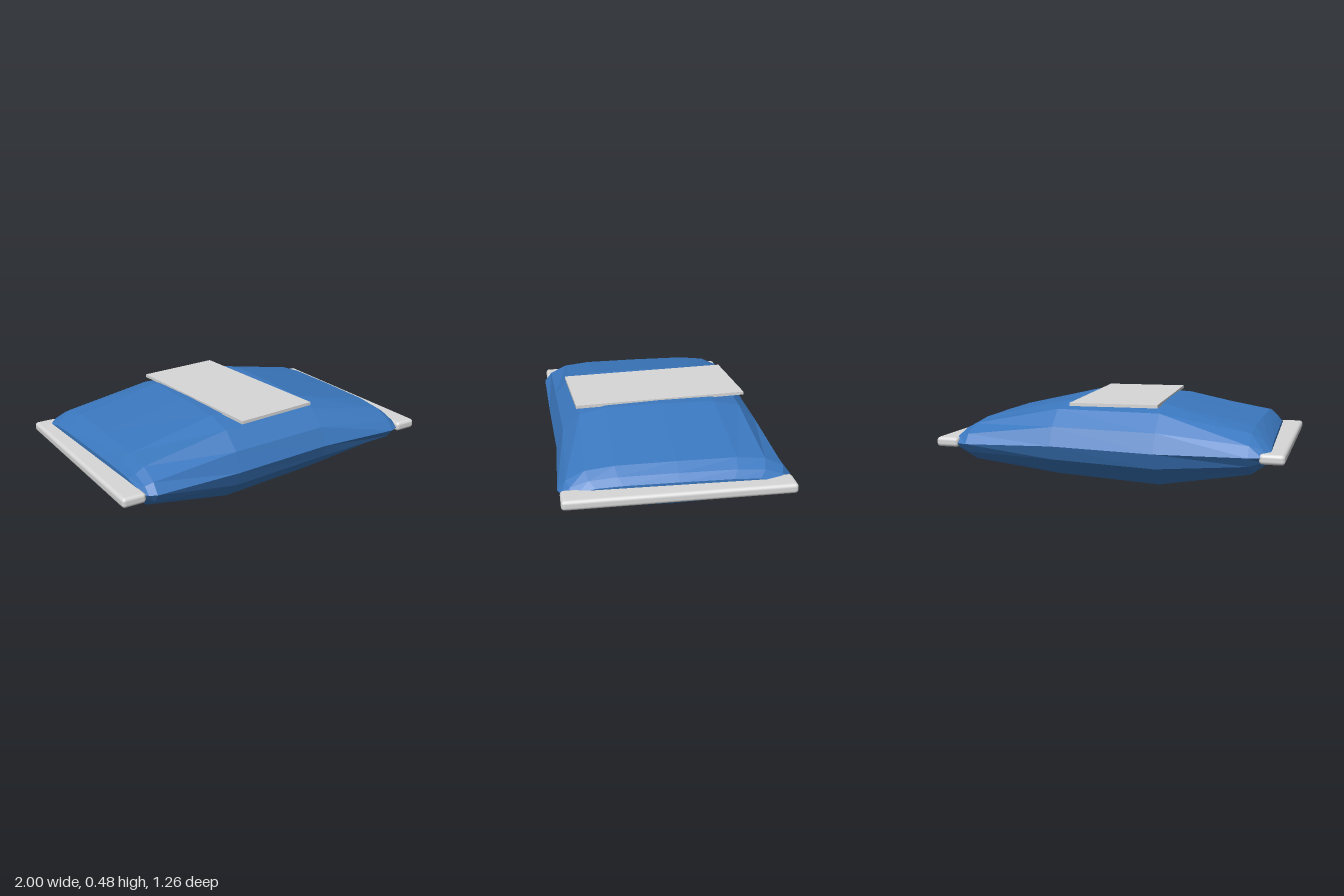
import * as THREE from 'three';
import { RoundedBoxGeometry } from 'three/addons/geometries/RoundedBoxGeometry.js';

// Closed faceted skin through equal-length rings of [x, y, z] points.
function loft(rings) {
  const n = rings[0].length;
  const pos = [];
  const tri = (a, b, c) => pos.push(...a, ...b, ...c);
  for (let i = 0; i < rings.length - 1; i++) {
    for (let j = 0; j < n; j++) {
      const k = (j + 1) % n;
      const a = rings[i][j], b = rings[i][k], c = rings[i + 1][k], d = rings[i + 1][j];
      tri(a, b, c);
      tri(a, c, d);
    }
  }
  const first = rings[0], last = rings[rings.length - 1];
  for (let j = 1; j < n - 1; j++) {
    tri(first[0], first[j + 1], first[j]);
    tri(last[0], last[j], last[j + 1]);
  }
  const geometry = new THREE.BufferGeometry();
  geometry.setAttribute('position', new THREE.Float32BufferAttribute(pos, 3));
  geometry.computeVertexNormals();
  return geometry;
}

export function createModel() {
  const blue = new THREE.MeshStandardMaterial({ color: 0x3b78bf, flatShading: true });
  blue.name = 'blue sack';
  const grey = new THREE.MeshStandardMaterial({ color: 0xd8d8d8 });
  grey.name = 'light grey';

  const model = new THREE.Group();
  const add = (name, geometry, material, x, y, z) => {
    const mesh = new THREE.Mesh(geometry, material);
    mesh.name = name;
    mesh.position.set(x, y, z);
    model.add(mesh);
    return mesh;
  };

  // Unit outline of the sack, [z, y], from the front seam over the top to the back and under
  const outline = [
    [1, 0], [0.93, 0.45], [0.77, 0.84], [0.52, 0.98], [0, 1], [-0.52, 0.98], [-0.77, 0.84], [-0.93, 0.45],
    [-1, 0], [-0.94, -0.38], [-0.77, -0.84], [-0.5, -0.92], [0, -1], [0.5, -0.92], [0.77, -0.84], [0.94, -0.38],
  ];
  // Sections along the sack: x, seam height, rise, drop, half depth, lean of the end in x
  const sections = [
    [-0.9, 0.25, 0.045, 0.04, 0.57, -0.022],
    [-0.865, 0.25, 0.08, 0.085, 0.61, -0.015],
    [-0.81, 0.25, 0.125, 0.14, 0.63, 0],
    [-0.3, 0.24, 0.24, 0.235, 0.62, 0],
    [0.3, 0.25, 0.23, 0.215, 0.605, 0],
    [0.81, 0.24, 0.12, 0.13, 0.625, 0],
    [0.87, 0.24, 0.08, 0.075, 0.605, 0.008],
    [0.908, 0.24, 0.045, 0.035, 0.56, 0.012],
  ];
  const rings = sections.map(([x, seam, rise, drop, depth, lean]) =>
    outline.map(([z, y]) => [x - lean * z, seam + y * (y > 0 ? rise : drop), z * depth]));
  // Positive z moves toward the top first, so the ring runs the right way for +x lofting
  add('sack', loft(rings.map((ring) => ring.slice().reverse())), blue, 0, 0, 0);

  // Rounded seam bars closing both ends
  for (const side of [-1, 1]) {
    add(side < 0 ? 'rightSeamBar' : 'leftSeamBar',
      new RoundedBoxGeometry(0.136, 0.056, 1.23, 3, 0.02), grey, side * 0.932, 0.243, 0);
  }

  // Slightly turned label resting on top
  add('label', new THREE.BoxGeometry(0.5, 0.018, 1.0), grey, -0.005, 0.479, 0).rotation.y = 0.07;

  return model;
}
